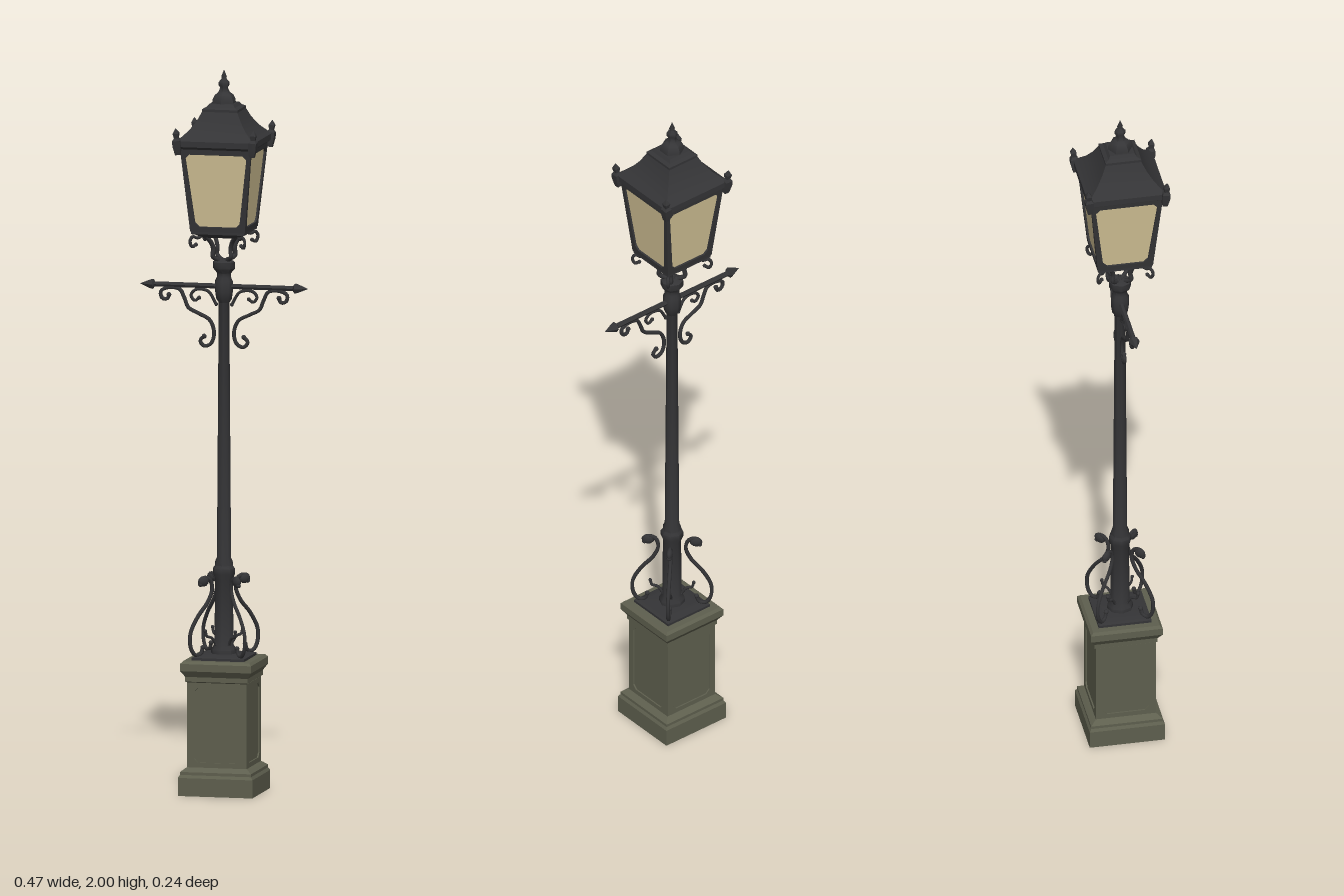
import * as THREE from 'three';
import { toCreasedNormals } from 'three/addons/utils/BufferGeometryUtils.js';

const mat = (name, color) => {
  const m = new THREE.MeshStandardMaterial({ color });
  m.name = name;
  return m;
};

export function createModel() {
  const iron = mat('black iron', 0x343436);
  const stone = mat('grey stone', 0x5e5f4e);
  const glass = mat('warm glass', 0xd0c094);
  const model = new THREE.Group();
  model.name = 'streetLamp';

  const add = (name, geo, material, parent = model) => {
    const m = new THREE.Mesh(geo, material);
    m.name = name;
    parent.add(m);
    return m;
  };
  // Turned part from [radius, y] pairs
  const turned = (name, profile, sides, material = iron, parent = model) => {
    const g = new THREE.LatheGeometry(profile.map(([r, y]) => new THREE.Vector2(r, y)), sides);
    return add(name, toCreasedNormals(g, 0.9), material, parent);
  };
  // Square stack from [half width, y] pairs
  const square = (name, profile, material = iron, parent = model) => {
    const pts = profile.map(([h, y]) => new THREE.Vector2(h * Math.SQRT2, y));
    const g = new THREE.LatheGeometry(pts, 4, Math.PI / 4);
    return add(name, toCreasedNormals(g, 0.3), material, parent);
  };
  // Wrought scroll in the x-y plane, with round ends
  const scroll = (name, pts, r, parent) => {
    const v = pts.map(([x, y]) => new THREE.Vector3(x, y, 0));
    add(name, new THREE.TubeGeometry(new THREE.CatmullRomCurve3(v), pts.length * 4, r, 6), iron, parent);
    for (const p of [v[0], v[v.length - 1]]) {
      add(name + 'End', new THREE.SphereGeometry(r * 1.25, 8, 6), iron, parent).position.copy(p);
    }
  };
  // Upright frame: tapered outline with a chamfered opening
  const frame = (wBottom, wTop, h, side, rail, depth) => {
    const s = new THREE.Shape([[-wBottom, 0], [wBottom, 0], [wTop, h], [-wTop, h]].map(p => new THREE.Vector2(...p)));
    const b = wBottom - side, t = wTop - side, c = 0.012;
    s.holes.push(new THREE.Path([
      [-b + c, rail], [-b, rail + c], [-t, h - rail - c], [-t + c, h - rail],
      [t - c, h - rail], [t, h - rail - c], [b, rail + c], [b - c, rail],
    ].map(p => new THREE.Vector2(...p))));
    return new THREE.ExtrudeGeometry(s, { depth, bevelEnabled: false });
  };

  // Pedestal
  square('pedestal', [[0, 0], [0.105, 0], [0.105, 0.05], [0.1, 0.058], [0.1, 0.066], [0.088, 0.075],
    [0.08, 0.08], [0.08, 0.31], [0.088, 0.315], [0.088, 0.328], [0.1, 0.345], [0.1, 0.365], [0.093, 0.372], [0, 0.372]], stone);
  for (let i = 0; i < 4; i++) {
    const side = new THREE.Group();
    side.name = 'pedestalSide';
    side.rotation.y = i * Math.PI / 2;
    model.add(side);
    add('pedestalFrame', frame(0.083, 0.083, 0.235, 0.018, 0.014, 0.005), stone, side).position.set(0, 0.077, 0.079);
  }
  square('footPlate', [[0.074, 0.37], [0.074, 0.379], [0.05, 0.385], [0, 0.385]]);

  // Post
  turned('post', [[0.036, 0.38], [0.036, 0.395], [0.027, 0.41], [0.025, 0.59], [0.031, 0.605], [0.031, 0.62],
    [0.025, 0.628], [0.025, 0.638], [0.02, 0.65], [0.015, 1.355], [0.022, 1.365], [0.025, 1.385], [0.025, 1.415],
    [0.02, 1.425], [0.02, 1.437], [0.031, 1.45], [0.031, 1.468], [0.016, 1.476], [0, 1.476]], 8);

  // Diagonal ironwork at the foot of the post and under the lantern
  for (let i = 0; i < 4; i++) {
    const corner = new THREE.Group();
    corner.name = 'cornerIronwork';
    corner.rotation.y = Math.PI / 4 + i * Math.PI / 2;
    model.add(corner);
    scroll('footScroll', [[0.068, 0.405], [0.075, 0.388], [0.092, 0.386], [0.106, 0.405], [0.108, 0.445], [0.085, 0.49],
      [0.052, 0.53], [0.038, 0.565], [0.046, 0.592], [0.066, 0.598], [0.076, 0.58]], 0.0055, corner);
    scroll('footHook', [[0.025, 0.41], [0.04, 0.43], [0.055, 0.435], [0.06, 0.45]], 0.004, corner);
    const leaf = add('scrollLeaf', new THREE.SphereGeometry(0.02, 8, 6), iron, corner);
    leaf.scale.set(0.9, 0.75, 0.45);
    leaf.position.set(0.066, 0.588, 0);
    scroll('lanternBracket', [[0.012, 1.472], [0.036, 1.485], [0.034, 1.505], [0.042, 1.525], [0.062, 1.545]], 0.0065, corner);
    scroll('lanternCurl', [[0.066, 1.548], [0.085, 1.54], [0.1, 1.545], [0.109, 1.533], [0.102, 1.517], [0.09, 1.522]], 0.0045, corner);
  }

  // Crossbar with spear ends and scrolls
  for (let i = 0; i < 2; i++) {
    const arm = new THREE.Group();
    arm.name = 'crossArm';
    arm.rotation.y = i * Math.PI;
    model.add(arm);
    const bar = turned('crossbar', [[0.0075, 0], [0.0075, 0.195], [0.015, 0.2], [0.013, 0.208], [0, 0.237]], 6, iron, arm);
    bar.rotation.z = -Math.PI / 2;
    bar.position.y = 1.4;
    scroll('armScroll', [[0.155, 1.372], [0.16, 1.36], [0.174, 1.362], [0.178, 1.38], [0.16, 1.391], [0.125, 1.388],
      [0.112, 1.365], [0.1, 1.338], [0.07, 1.322], [0.04, 1.305], [0.028, 1.27], [0.037, 1.24],
      [0.056, 1.233], [0.067, 1.248], [0.056, 1.26]], 0.0055, arm);
    scroll('innerCurl', [[0.022, 1.35], [0.045, 1.385], [0.08, 1.388], [0.093, 1.372], [0.082, 1.358], [0.07, 1.366]], 0.0045, arm);
  }

  // Lantern body
  square('lanternBase', [[0, 1.54], [0.05, 1.54], [0.066, 1.55], [0.075, 1.552], [0.075, 1.568], [0.068, 1.573], [0, 1.573]]);
  square('lanternGlass', [[0.072, 1.565], [0.0935, 1.79]], glass);
  for (let i = 0; i < 4; i++) {
    const side = new THREE.Group();
    side.name = 'lanternSide';
    side.rotation.y = i * Math.PI / 2;
    model.add(side);
    const f = add('windowFrame', frame(0.077, 0.1, 0.232, 0.014, 0.014, 0.007), iron, side);
    f.position.set(0, 1.56, 0.07);
    f.rotation.x = Math.atan(0.023 / 0.232);
  }

  // Roof
  square('roof', [[0, 1.775], [0.097, 1.775], [0.1, 1.79], [0.11, 1.797], [0.11, 1.813], [0.1, 1.82], [0.079, 1.84],
    [0.062, 1.864], [0.05, 1.888], [0.05, 1.895], [0.04, 1.9], [0.034, 1.908], [0, 1.908]]);
  for (const x of [-1, 1]) for (const z of [-1, 1]) {
    const post = square('cornerFinial', [[0.007, -0.035], [0.011, -0.01], [0.011, 0.005], [0.006, 0.012], [0.008, 0.025], [0, 0.04]]);
    post.position.set(x * 0.107, 1.81, z * 0.107);
    post.rotation.set(z * 0.08, 0, -x * 0.08);
  }
  turned('topFinial', [[0.034, 1.905], [0.033, 1.918], [0.027, 1.93], [0.016, 1.938], [0.011, 1.95], [0.016, 1.958],
    [0.015, 1.966], [0.007, 1.975], [0.008, 1.981], [0, 2]], 6);

  return model;
}
